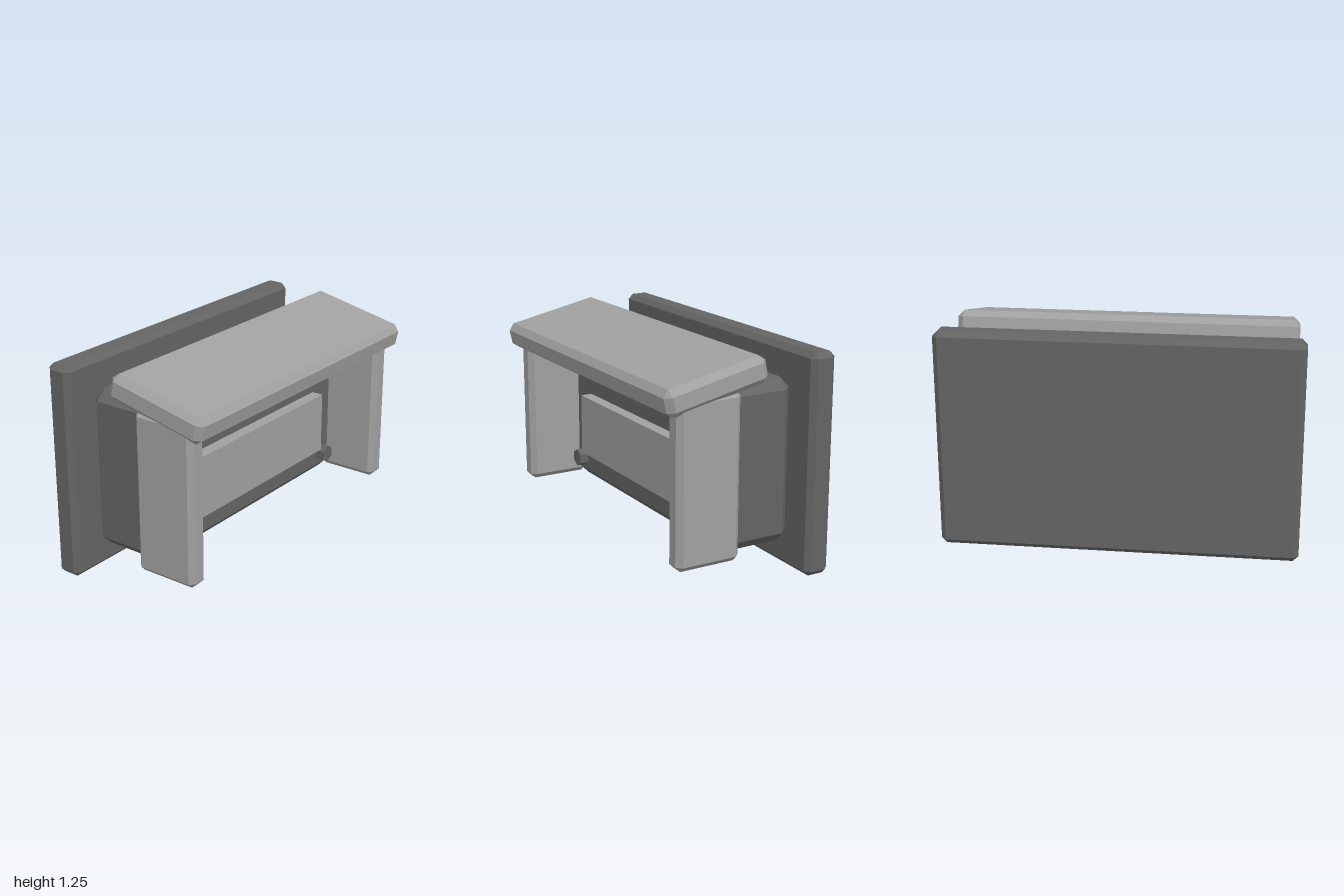
import * as THREE from 'three';
import { ConvexGeometry } from 'three/addons/geometries/ConvexGeometry.js';

// Box with a flat chamfer along every edge
function chamferBox(w, h, d, c) {
  const points = [];
  for (const sx of [-1, 1]) for (const sy of [-1, 1]) for (const sz of [-1, 1]) {
    const x = w / 2, y = h / 2, z = d / 2;
    points.push(
      new THREE.Vector3(sx * x, sy * (y - c), sz * (z - c)),
      new THREE.Vector3(sx * (x - c), sy * y, sz * (z - c)),
      new THREE.Vector3(sx * (x - c), sy * (y - c), sz * z));
  }
  return new ConvexGeometry(points);
}

export function createModel() {
  const group = new THREE.Group();
  group.name = 'hoodedWallUnit';

  const darkGrey = new THREE.MeshStandardMaterial({ color: 0x646464 });
  darkGrey.name = 'darkGrey';
  const lightGrey = new THREE.MeshStandardMaterial({ color: 0xa0a0a0 });
  lightGrey.name = 'lightGrey';

  function add(name, geometry, material, x, y, z) {
    const mesh = new THREE.Mesh(geometry, material);
    mesh.name = name;
    mesh.position.set(x, y, z);
    group.add(mesh);
    return mesh;
  }

  // Mounting plate and the housing in front of it
  add('backPlate', chamferBox(2, 1.235, 0.15, 0.03), darkGrey, 0, 0.6175, -0.425);
  add('housing', chamferBox(1.69, 0.92, 0.46, 0.06), darkGrey, 0, 0.62, -0.12);

  // Raised front panel
  add('frontPanel', new THREE.BoxGeometry(1.22, 0.36, 0.08), lightGrey, 0, 0.54, 0.14);

  // Hexagonal bolts at the housing corners
  const boltGeometry = new THREE.CylinderGeometry(0.053, 0.053, 0.07, 6).toNonIndexed();
  boltGeometry.computeVertexNormals();
  boltGeometry.rotateX(Math.PI / 2);
  for (const x of [-0.71, 0.71]) for (const y of [0.295, 0.945]) {
    add((y > 0.6 ? 'upper' : 'lower') + (x > 0 ? 'Left' : 'Right') + 'Bolt', boltGeometry, darkGrey, x, y, 0.13);
  }

  // Side walls
  const wallGeometry = chamferBox(0.12, 0.92, 0.38, 0.03);
  for (const s of [-1, 1]) {
    add(s > 0 ? 'leftWall' : 'rightWall', wallGeometry, lightGrey, s * 0.88, 0.62, 0.23);
  }

  // Sloping roof, lower at the front
  const roof = add('roof', chamferBox(1.92, 0.152, 0.61, 0.035), lightGrey, 0, 1.12, 0.193);
  roof.rotation.x = THREE.MathUtils.degToRad(12);

  return group;
}
